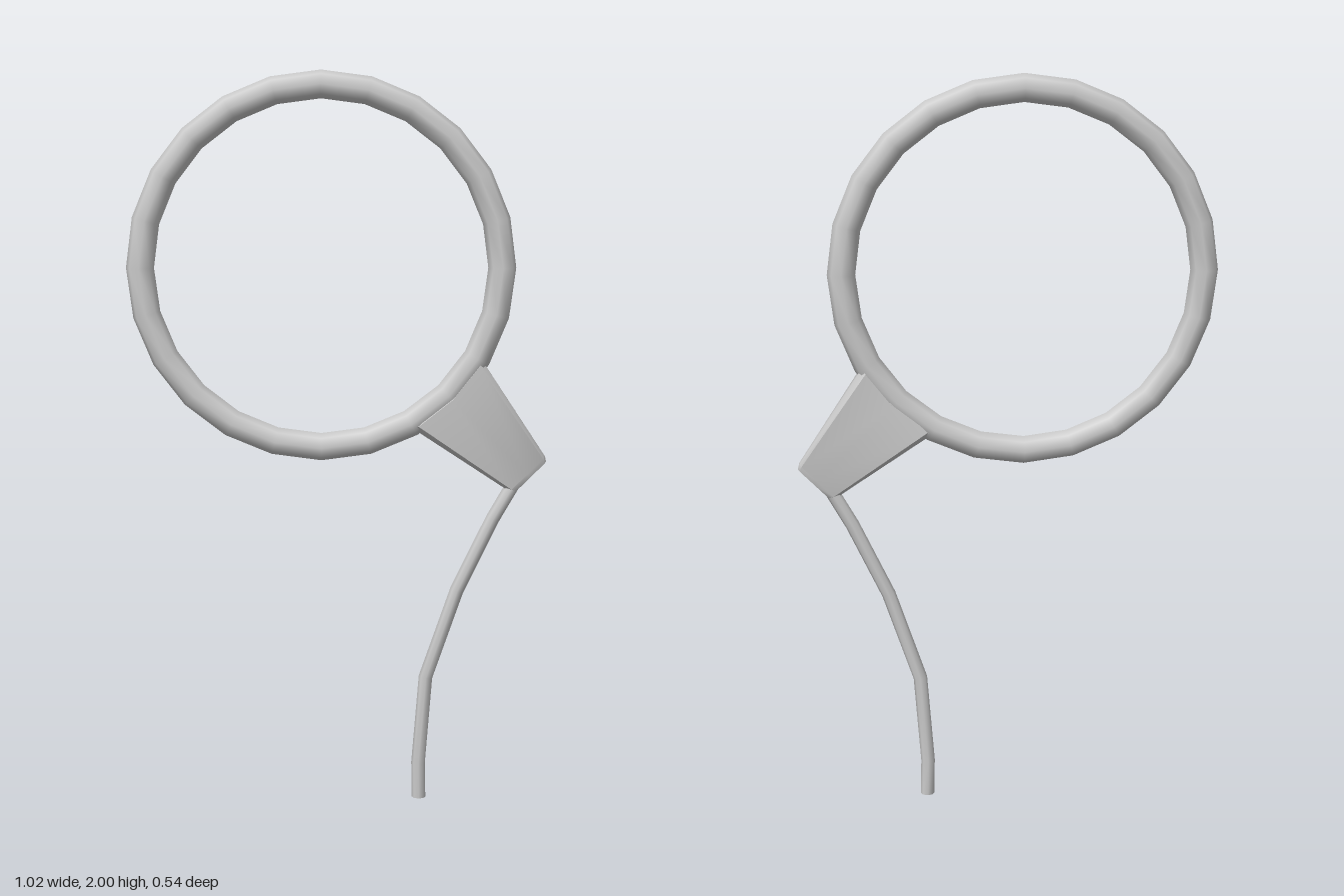
import * as THREE from 'three';
import { toCreasedNormals } from 'three/addons/utils/BufferGeometryUtils.js';

const material = new THREE.MeshStandardMaterial({ color: 0xcccccc });

// Closed solid through a list of sections, each an equal-length loop of points
function loft(sections, crease) {
  const n = sections[0].length;
  const positions = sections.flat().flatMap((p) => [p.x, p.y, p.z]);
  const index = [];
  for (let i = 0; i < sections.length - 1; i++) {
    for (let j = 0; j < n; j++) {
      const a = i * n + j, b = i * n + (j + 1) % n;
      index.push(a, b, b + n, a, b + n, a + n);
    }
  }
  const last = (sections.length - 1) * n;
  for (let j = 1; j < n - 1; j++) {
    index.push(0, j + 1, j, last, last + j, last + j + 1);
  }
  const geometry = new THREE.BufferGeometry();
  geometry.setAttribute('position', new THREE.Float32BufferAttribute(positions, 3));
  geometry.setIndex(index);
  return toCreasedNormals(geometry, crease);
}

export function createModel() {
  const model = new THREE.Group();
  model.name = 'hoopWithHandle';
  // Everything lies in one upright plane, turned about the vertical
  const body = new THREE.Group();
  body.name = 'body';
  body.position.set(-0.045, 0, 0.0175);
  body.rotation.y = 0.463;
  model.add(body);

  const add = (name, geometry) => {
    const mesh = new THREE.Mesh(geometry, material);
    mesh.name = name;
    body.add(mesh);
    return mesh;
  };

  // Hoop
  const hoopY = 1.475;
  add('hoop', new THREE.TorusGeometry(0.485, 0.0375, 8, 24)).position.y = hoopY;

  // Flat tapering socket growing out of the hoop's lower corner
  const phi = -Math.PI / 4;
  const profile = [[1, -0.5], [1, 0.5], [0.88, 1], [0, 1], [-0.88, 1],
    [-1, 0.5], [-1, -0.5], [-0.88, -1], [0, -1], [0.88, -1]];
  const base = profile.map(([s, t]) => {
    const a = phi + s * 0.265;
    return new THREE.Vector3(0.5 * Math.cos(a), hoopY + 0.5 * Math.sin(a), t * 0.034);
  });
  const tip = (r, w, d) => profile.map(([s, t]) => new THREE.Vector3(
    r * Math.cos(phi) - s * w * Math.sin(phi),
    hoopY + r * Math.sin(phi) + s * w * Math.cos(phi),
    t * d));
  add('socket', loft([base, tip(0.79, 0.068, 0.019), tip(0.803, 0.06, 0.013)], 0.7));

  // Thin curved handle, hanging from the socket's lower corner
  const path = [[0.53, 0.9], [0.467, 0.79], [0.371, 0.59], [0.287, 0.345], [0.268, 0.1], [0.27, 0]]
    .map(([x, y]) => new THREE.Vector3(x, y, 0));
  const radius = 0.019, sides = 8;
  const sections = path.map((p, i) => {
    const before = path[Math.max(i - 1, 0)], after = path[Math.min(i + 1, path.length - 1)];
    const dir = i === path.length - 1 ? new THREE.Vector3(0, -1, 0) : after.clone().sub(before).normalize();
    return Array.from({ length: sides }, (_, j) => {
      const a = (j / sides) * Math.PI * 2, s = radius * Math.cos(a);
      return new THREE.Vector3(p.x - s * dir.y, p.y + s * dir.x, radius * Math.sin(a));
    });
  });
  add('handle', loft(sections, 1));

  return model;
}
